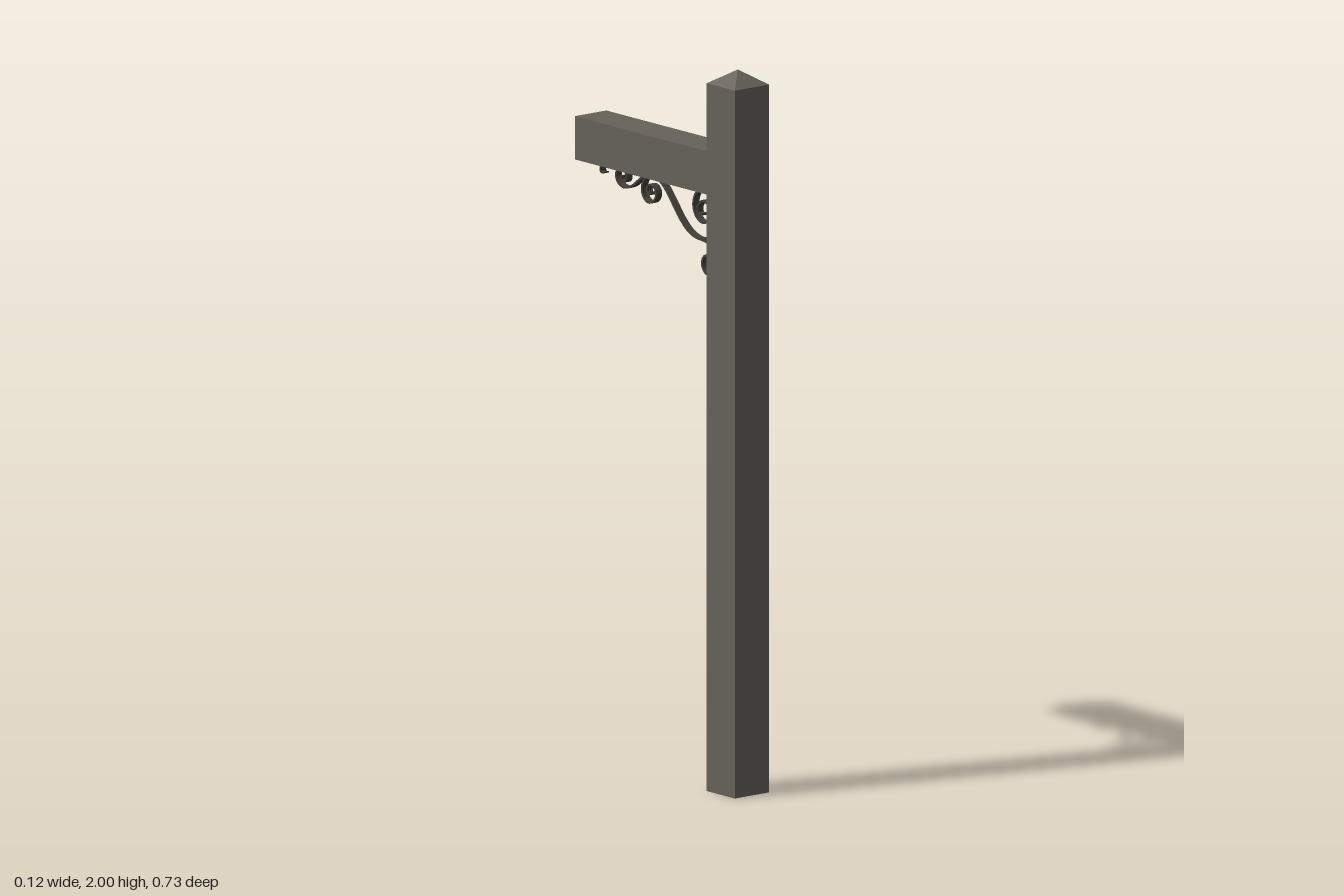
import * as THREE from 'three';
import { toCreasedNormals } from 'three/addons/utils/BufferGeometryUtils.js';

const wood = new THREE.MeshStandardMaterial({ color: 0x66625a });
wood.name = 'weathered wood';
const iron = new THREE.MeshStandardMaterial({ color: 0x45423c });
iron.name = 'dark iron';

function part(name, geometry, material) {
  const mesh = new THREE.Mesh(geometry, material);
  mesh.name = name;
  return mesh;
}

// Four-sided point with a square base of side 1 at y = 0
function pyramid(width, height, depth) {
  const g = new THREE.ConeGeometry(Math.SQRT1_2, 1, 4, 1, true);
  g.rotateY(Math.PI / 4);
  g.translate(0, 0.5, 0);
  g.scale(width, height, depth);
  return toCreasedNormals(g, 0.3);
}

// Flat iron strip that follows a curve in the y-z plane
function strip(points, thickness, width) {
  const unit = 0.0053; // drawing unit; origin where the post meets the beam's underside
  const curve = new THREE.CatmullRomCurve3(
    points.map(([a, b]) => new THREE.Vector3(a * unit, b * unit, 0)));
  const n = points.length * 6;
  const left = [], right = [];
  for (let i = 0; i <= n; i++) {
    const p = curve.getPoint(i / n);
    const t = curve.getTangent(i / n);
    const ox = -t.y * thickness / 2, oy = t.x * thickness / 2;
    left.push(new THREE.Vector2(p.x + ox, p.y + oy));
    right.push(new THREE.Vector2(p.x - ox, p.y - oy));
  }
  const shape = new THREE.Shape([...left, ...right.reverse()]);
  const g = new THREE.ExtrudeGeometry(shape, { depth: width, bevelEnabled: false });
  g.translate(0, 0, -width / 2);
  g.rotateY(Math.PI / 2);
  g.translate(0, 1.65, 0.245);
  return toCreasedNormals(g, 0.8);
}

export function createModel() {
  const model = new THREE.Group();
  model.name = 'signpost';

  // Upright post with a pointed cap
  const post = part('post', new THREE.BoxGeometry(0.12, 1.96, 0.12), wood);
  post.position.set(0, 0.98, 0.305);
  const cap = part('postCap', pyramid(0.12, 0.04, 0.12), wood);
  cap.position.set(0, 1.96, 0.305);

  // Cross beam, let into the post, with a pointed end
  const beam = part('beam', new THREE.BoxGeometry(0.11, 0.12, 0.627), wood);
  beam.position.set(0, 1.71, -0.0085);
  const tip = part('beamTip', pyramid(0.11, 0.043, 0.12), wood);
  tip.rotation.x = -Math.PI / 2;
  tip.position.set(0, 1.71, -0.322);
  model.add(post, cap, beam, tip);

  // Scrolled iron bracket in the corner under the beam
  const bracket = new THREE.Group();
  bracket.name = 'bracket';
  const scrolls = {
    mainScroll: [
      [15, -14], [18.5, -14], [19, -10.5], [15, -7], [10.5, -8.5], [9, -12.5], [11, -17],
      [15.5, -18.3], [20.5, -15.5], [22.5, -10], [20.5, -4], [14.5, -1.2], [8, -3.2],
      [4.2, -9], [4, -16], [7, -22.5], [12.5, -26.3], [18.5, -27.2], [26, -25],
      [33, -19.5], [40, -11.5], [46, -5], [51, -1.8], [56, -1.1], [61, -3],
      [63.8, -8], [62.5, -13], [58.5, -15.3], [54, -13.5], [52.3, -9.5], [54.5, -6.3],
      [58.3, -6.2], [60, -9], [58.5, -11], [56.5, -10],
    ],
    lowerScroll: [
      [18.5, -27.2], [12, -28], [6.5, -31], [3.8, -36], [4.5, -41.5], [8.5, -44.8],
      [13, -44], [15.6, -40], [14, -36], [10, -34.6], [7.2, -37], [7.5, -40.3],
      [10, -41.3], [11.5, -39],
    ],
    outerScroll: [
      [56, -1.1], [62, -2], [67, -5.5], [72, -9], [78, -10.8], [83, -9], [84.6, -4.8],
      [82, -1.6], [78, -2], [76, -5], [77.5, -7.6], [80.3, -7.2], [80.5, -5],
    ],
    endCurl: [[93.5, -1], [95.5, -2], [97.3, -4], [96.5, -6], [94.5, -6]],
  };
  for (const [name, points] of Object.entries(scrolls)) {
    const thickness = name === 'endCurl' ? 0.004 : 0.006;
    bracket.add(part(name, strip(points, thickness, 0.02), iron));
  }
  model.add(bracket);
  return model;
}
